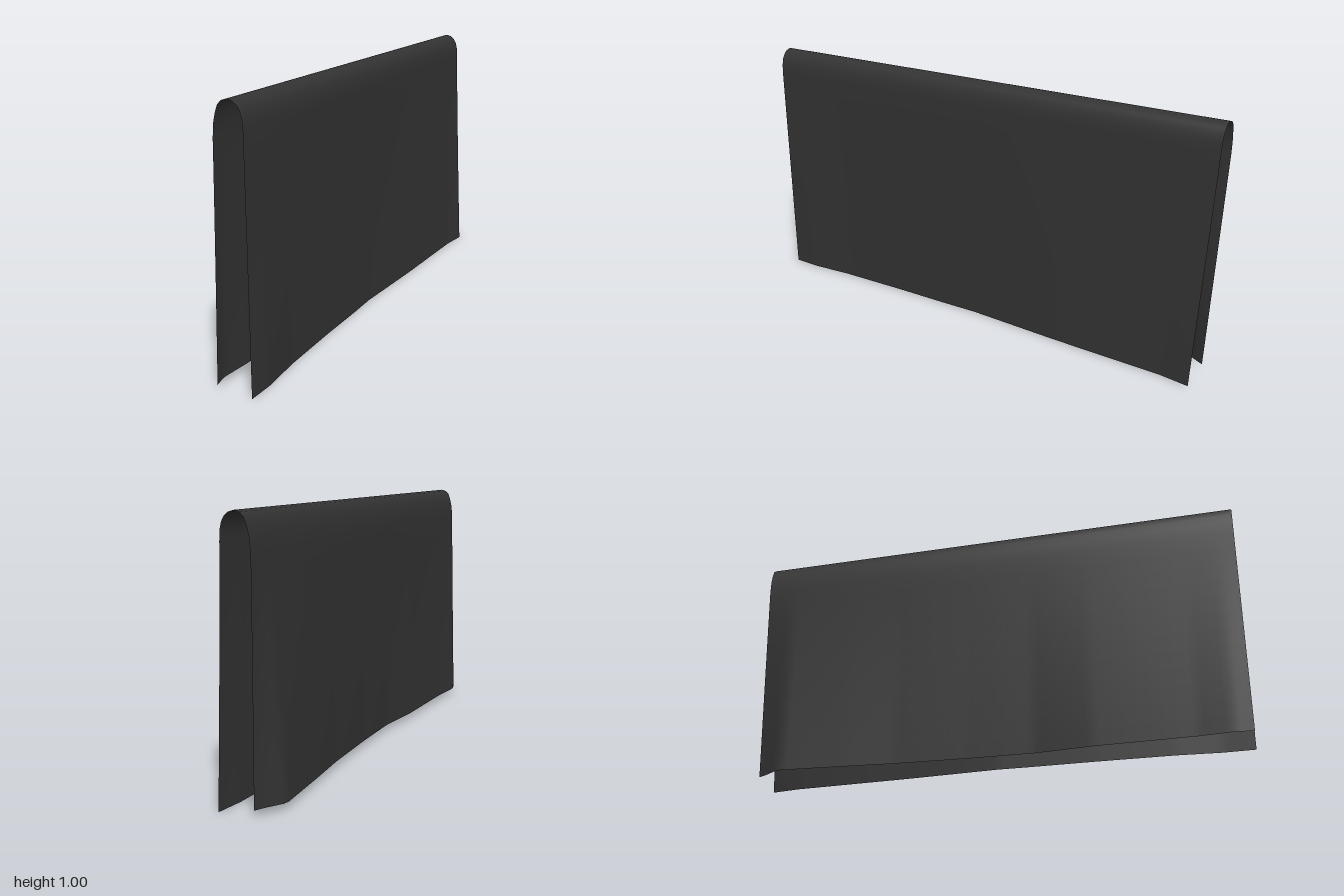
import * as THREE from 'three';

// Bottom hems as [z, x]: each side hangs in its own soft waves
const LEFT_HEM = [[-1, 0.1], [-0.88, 0.083], [-0.6, 0.072], [-0.4, 0.064], [-0.2, 0.052],
  [0, 0.04], [0.15, 0.042], [0.4, 0.041], [0.7, 0.045], [0.88, 0.058], [1, 0.054]];
const RIGHT_HEM = [[-1, -0.035], [-0.96, -0.055], [-0.89, -0.1], [-0.6, -0.078], [-0.4, -0.06],
  [-0.1, -0.047], [0.17, -0.042], [0.4, -0.065], [0.8, -0.075], [0.94, -0.09], [1, -0.078]];

// Rounded fold over the top, from the left side to the right side
const FOLD = [[0.055, 0.9], [0.053, 0.935], [0.046, 0.963], [0.035, 0.982], [0.02, 0.994], [0, 1],
  [-0.02, 0.994], [-0.034, 0.98], [-0.043, 0.955], [-0.051, 0.92], [-0.055, 0.87]];

function hemAt(hem, z) {
  let k = 1;
  while (k < hem.length - 1 && z > hem[k][0]) k++;
  const [z0, x0] = hem[k - 1], [z1, x1] = hem[k];
  return THREE.MathUtils.lerp(x0, x1, (z - z0) / (z1 - z0));
}

export function createModel() {
  const group = new THREE.Group();
  group.name = 'drapedCloth';
  const SIDE = 12, COLS = 80;
  const rows = SIDE * 2 + FOLD.length;
  const pos = [], idx = [];

  // One cross-section per z: up the left side, over the fold, down the right side
  for (let j = 0; j <= COLS; j++) {
    const z = -1 + (2 * j) / COLS;
    const addPoint = (x, y) => {
      const drop = 1 - y;
      // The ends draw in slightly towards the hem
      pos.push(x, y, THREE.MathUtils.lerp(-1 + 0.033 * drop, 1 - 0.01 * drop, j / COLS));
    };
    const side = (hem, start, bottom, t) => {
      const x = THREE.MathUtils.lerp(start[0], hemAt(hem, z), Math.pow(t, 1.1));
      addPoint(x, THREE.MathUtils.lerp(start[1], bottom, t));
    };
    for (let i = SIDE; i > 0; i--) side(LEFT_HEM, FOLD[0], 0, i / SIDE);
    FOLD.forEach(([x, y]) => addPoint(x, y));
    for (let i = 1; i <= SIDE; i++) side(RIGHT_HEM, FOLD[FOLD.length - 1], 0.025, i / SIDE);
  }
  for (let j = 0; j < COLS; j++) {
    for (let i = 0; i < rows - 1; i++) {
      const a = j * rows + i, b = a + rows;
      idx.push(a, a + 1, b, a + 1, b + 1, b);
    }
  }

  const geometry = new THREE.BufferGeometry();
  geometry.setAttribute('position', new THREE.Float32BufferAttribute(pos, 3));
  geometry.setIndex(idx);
  geometry.computeVertexNormals();

  const cloth = new THREE.Mesh(geometry,
    new THREE.MeshStandardMaterial({ color: 0x333333, side: THREE.DoubleSide }));
  cloth.name = 'cloth';
  group.add(cloth);
  return group;
}
